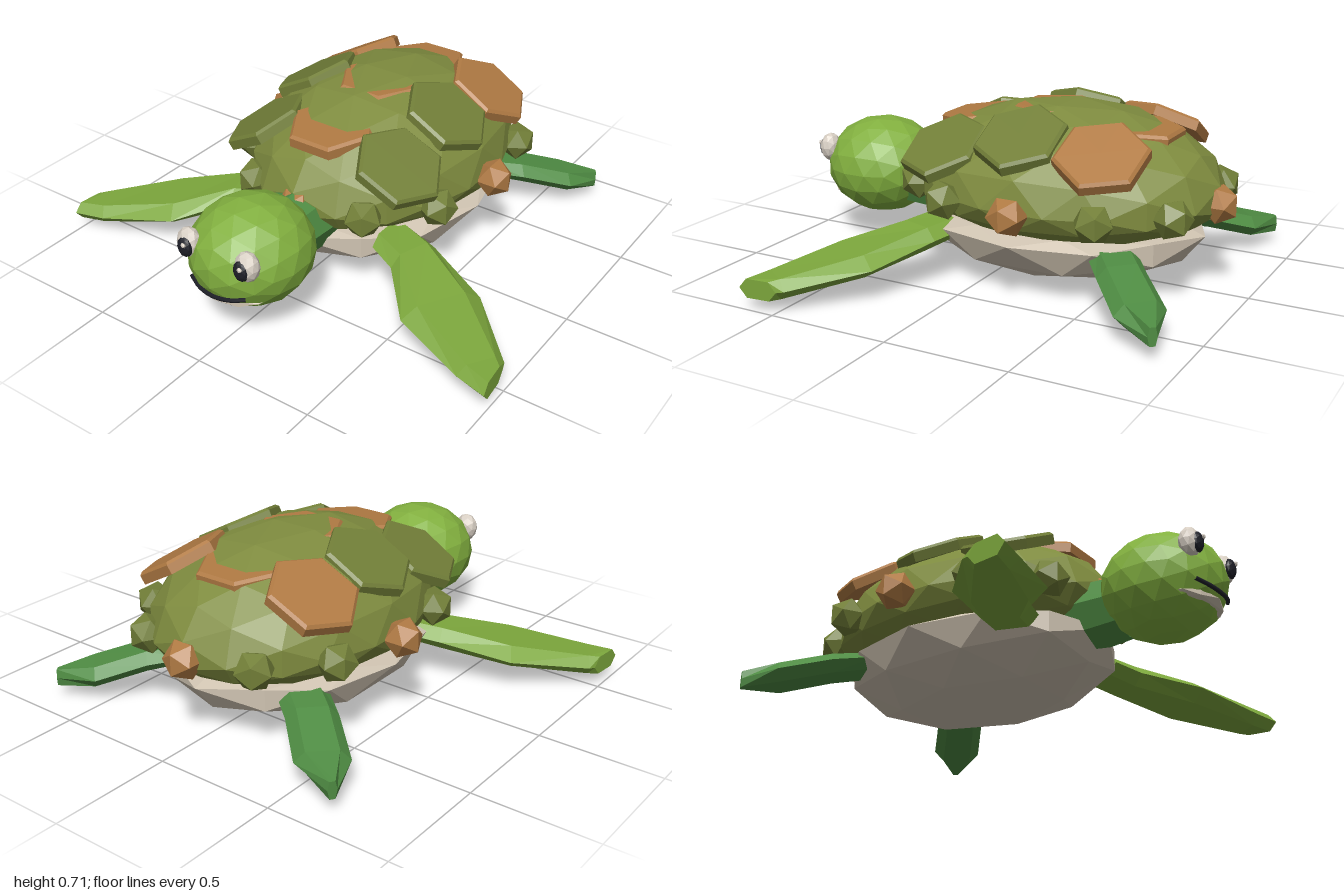
import * as THREE from 'three';

const mat = (name, color) => {
  const m = new THREE.MeshStandardMaterial({ color });
  m.name = name;
  return m;
};

// Faceted normals for low-poly parts
function facet(geo) {
  const g = geo.index ? geo.toNonIndexed() : geo;
  g.computeVertexNormals();
  return g;
}

// Faceted ellipsoid; each half can have its own height
function ball(detail, rx, top, rz, bottom = top) {
  const g = new THREE.IcosahedronGeometry(1, detail);
  const p = g.attributes.position;
  for (let i = 0; i < p.count; i++) {
    const y = p.getY(i);
    p.setXYZ(i, p.getX(i) * rx, y * (y > 0 ? top : bottom), p.getZ(i) * rz);
  }
  return facet(g);
}

// Flipper lofted through stations [leadX, leadZ, trailX, trailZ, y, halfThickness]
function flipper(stations, side) {
  const section = [[0, 0], [0.2, 1], [0.8, 1], [1, 0], [0.8, -1], [0.2, -1]];
  const n = section.length, pos = [], idx = [];
  for (const [ax, az, bx, bz, y, t] of stations)
    for (const [u, v] of section)
      pos.push(side * (ax + (bx - ax) * u), y + v * t, az + (bz - az) * u);
  const tri = (a, b, c) => (side > 0 ? idx.push(a, b, c) : idx.push(a, c, b));
  for (let i = 0; i < stations.length - 1; i++)
    for (let j = 0; j < n; j++) {
      const a = i * n + j, b = i * n + (j + 1) % n;
      tri(a, b, b + n);
      tri(a, b + n, a + n);
    }
  const last = (stations.length - 1) * n;
  for (let j = 1; j < n - 1; j++) {
    tri(0, j + 1, j);
    tri(last, last + j, last + j + 1);
  }
  const g = new THREE.BufferGeometry();
  g.setAttribute('position', new THREE.Float32BufferAttribute(pos, 3));
  g.setIndex(idx);
  return facet(g);
}

export function createModel() {
  const root = new THREE.Group();
  root.name = 'turtle';
  const shellMat = mat('shell olive', 0x7f8c3f);
  const scuteMat = mat('scute olive', 0x727f38);
  const brownMat = mat('scute brown', 0xb07a43);
  const headMat = mat('head green', 0x82b03f);
  const flipperMat = mat('flipper green', 0x7ca63c);
  const darkMat = mat('deep green', 0x4f8c43);
  const creamMat = mat('belly cream', 0xcfc3b1);
  const eyeMat = mat('eye white', 0xd8cfc4);
  const blackMat = mat('near black', 0x1e1f28);

  const add = (name, geo, material, x = 0, y = 0, z = 0) => {
    const m = new THREE.Mesh(geo, material);
    m.name = name;
    m.position.set(x, y, z);
    root.add(m);
    return m;
  };

  // Body
  add('shell', ball(2, 0.5, 0.34, 0.655, 0.2), shellMat, 0, 0.36, -0.225);
  add('belly', ball(1, 0.475, 0.066, 0.615, 0.22), creamMat, 0, 0.22, -0.2);

  // Bevelled hexagonal shell plates: three rows, three columns
  const plate = facet(new THREE.LatheGeometry(
    [[0, -0.025], [0.185, -0.025], [0.185, 0.014], [0.172, 0.025], [0, 0.025]]
      .map(([r, y]) => new THREE.Vector2(r, y)), 6, Math.PI / 2));
  const rows = [
    { z: 0.16, y: 0.53, cy: 0.595, tilt: 0.17, m: scuteMat },
    { z: -0.18, y: 0.605, cy: 0.655, tilt: 0, m: scuteMat },
    { z: -0.515, y: 0.575, cy: 0.61, tilt: -0.15, m: brownMat },
  ];
  for (const r of rows) {
    const middle = add('middlePlate', plate, brownMat, 0, r.cy, r.z - 0.01);
    middle.rotation.x = r.tilt * 0.6;
    for (const s of [1, -1]) {
      const p = add('sidePlate', plate, r.m, s * 0.32, r.y, r.z);
      p.rotation.set(r.tilt, 0, -s * 0.5);
    }
  }

  // Studs around the shell rim, every third one brown
  const stud = ball(0, 0.08, 0.08, 0.08);
  for (let i = 0; i < 12; i++) {
    const a = i * Math.PI / 6;
    add('rimStud', stud, i % 3 ? scuteMat : brownMat,
      Math.sin(a) * 0.525, 0.36, -0.23 + Math.cos(a) * 0.635).rotation.y = a;
  }

  // Neck and head
  const neck = add('neck', facet(new THREE.CylinderGeometry(0.13, 0.155, 0.34, 8)),
    darkMat, 0, 0.29, 0.34);
  neck.rotation.x = Math.PI / 2;
  add('head', ball(2, 0.24, 0.21, 0.25), headMat, 0, 0.32, 0.67);
  add('jaw', ball(1, 0.175, 0.04, 0.15), creamMat, 0, 0.215, 0.745);

  // Mouth line wrapped around the face
  const smile = [-0.13, -0.07, 0, 0.07, 0.13].map((x) => {
    const y = 0.238 + x * x;
    const k = 1 - (x / 0.24) ** 2 - ((y - 0.32) / 0.21) ** 2;
    return new THREE.Vector3(x, y, 0.672 + 0.25 * Math.sqrt(k));
  });
  add('mouth', new THREE.TubeGeometry(new THREE.CatmullRomCurve3(smile), 12, 0.009, 5), blackMat);

  // Paired parts
  const front = [
    [0.28, 0.06, 0.28, 0.28, 0.21, 0.04],
    [0.47, 0.12, 0.40, 0.33, 0.19, 0.045],
    [0.74, 0.23, 0.57, 0.52, 0.135, 0.045],
    [0.975, 0.46, 0.87, 0.62, 0.09, 0.04],
    [0.985, 0.49, 1.0, 0.65, 0.085, 0.038],
  ];
  const back = [
    [0.22, -0.62, 0.36, -0.48, 0.2, 0.035],
    [0.35, -0.72, 0.49, -0.58, 0.17, 0.042],
    [0.5, -0.86, 0.65, -0.72, 0.11, 0.042],
    [0.68, -0.9, 0.7, -0.87, 0.085, 0.035],
  ];
  for (const s of [1, -1]) {
    add('frontFlipper', flipper(front, s), flipperMat);
    add('backFlipper', flipper(back, s), darkMat);
    add('eye', ball(1, 0.05, 0.062, 0.042), eyeMat, s * 0.137, 0.4, 0.858);
    add('pupil', ball(1, 0.033, 0.043, 0.022), blackMat, s * 0.132, 0.395, 0.888);
    add('eyeGlint', ball(0, 0.011, 0.011, 0.008), eyeMat, s * 0.132 + 0.01, 0.415, 0.908);
  }
  return root;
}
